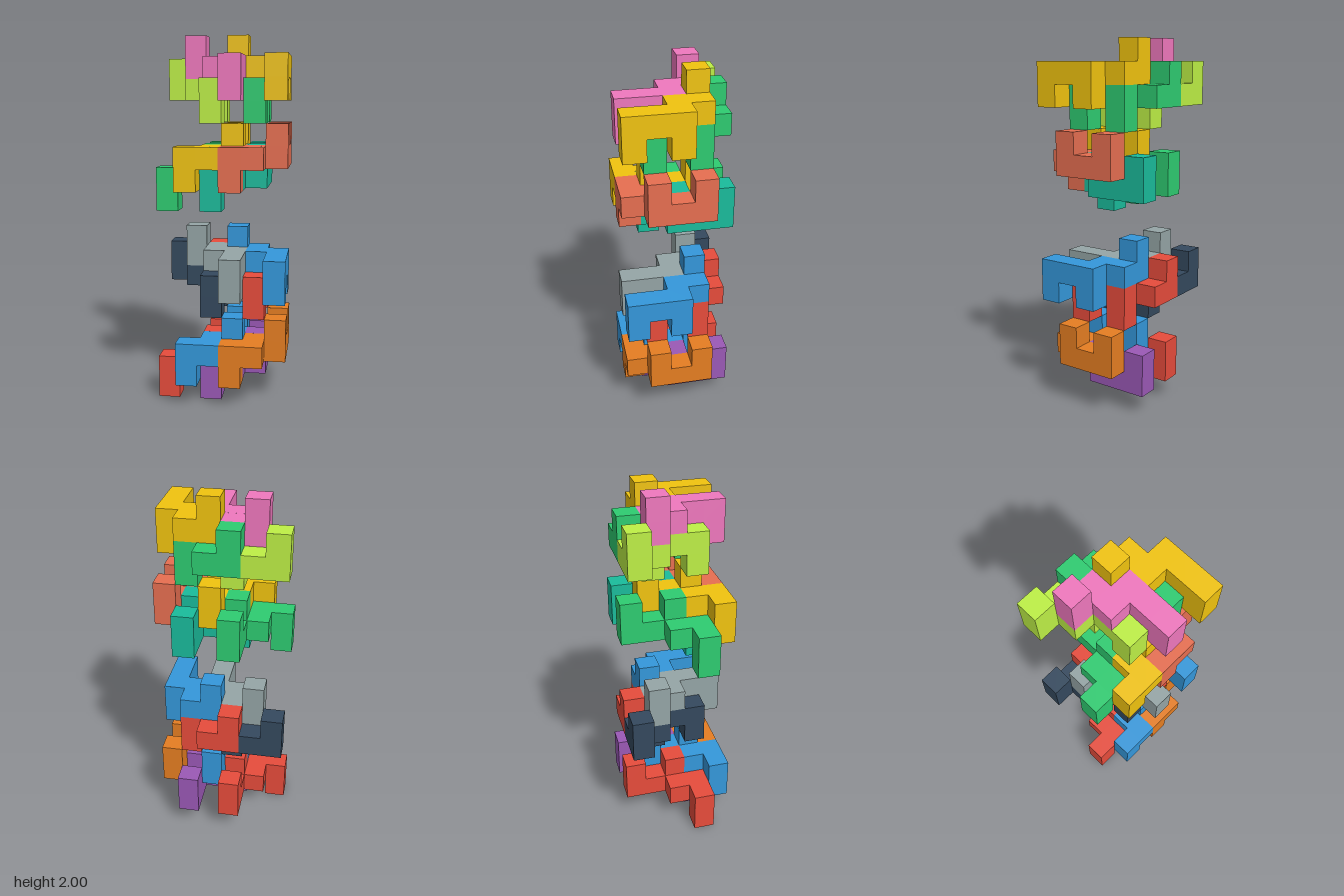
import * as THREE from 'three';
import { mergeGeometries } from 'three/addons/utils/BufferGeometryUtils.js';

const U = 2 / 17; // edge of one cube cell

// Cells of the one interlocking piece, relative to the middle of its bar
const CELLS = [
  [0, 0, 1], [0, 0, 0], [0, 0, -1],      // bar
  [0, -1, 1], [0, -1, -1],               // two legs
  [-1, 0, -1], [-1, 0, -2], [-2, 0, -2], // stepped arm
  [-2, 1, -2],                           // raised tip
];
const DIRECTIONS = [[1, 0, 0], [-1, 0, 0], [0, 1, 0], [0, -1, 0], [0, 0, 1], [0, 0, -1]];

// Outer skin of the piece: a square wherever a cell has no neighbour
function pieceGeometry() {
  const filled = new Set(CELLS.map(String));
  const faces = [];
  for (const cell of CELLS) {
    for (const dir of DIRECTIONS) {
      if (filled.has(String(cell.map((c, i) => c + dir[i])))) continue;
      const face = new THREE.PlaneGeometry(U, U);
      face.lookAt(new THREE.Vector3(...dir));
      face.translate(...cell.map((c, i) => (c + dir[i] / 2) * U));
      faces.push(face);
    }
  }
  return mergeGeometries(faces);
}

// Bar position of each piece in cells; flipped pieces have their legs up
const PIECES = [
  { name: 'upperOuterPiece', at: [5, 6, 3], tint: 0 },
  { name: 'upperMiddlePiece', at: [3, 6, 3], tint: 1 },
  { name: 'upperBackOuterPiece', at: [4, 5, 2], tint: 2 },
  { name: 'upperBackInnerPiece', at: [2, 5, 2], tint: 3 },
  { name: 'lowerOuterPiece', at: [5, 2, 2], tint: 4, flipped: true },
  { name: 'lowerMiddlePiece', at: [3, 2, 2], tint: 0, flipped: true },
  { name: 'lowerBackOuterPiece', at: [4, 1, 1], tint: 5, flipped: true },
  { name: 'lowerBackInnerPiece', at: [2, 1, 1], tint: 2, flipped: true },
];

// The same cluster twice, each with its own palette
const CLUSTERS = [
  { name: 'bottomCluster', level: 0, colors: [0x3498db, 0x95a5a6, 0xe74c3c, 0x34495e, 0xe67e22, 0x9b59b6] },
  { name: 'topCluster', level: 9, colors: [0xf1c40f, 0xf078be, 0x2ecc71, 0xbef046, 0xe76f51, 0x1abc9c] },
];

export function createModel() {
  const model = new THREE.Group();
  model.name = 'interlockingPieces';
  const geometry = pieceGeometry();

  for (const { name, level, colors } of CLUSTERS) {
    const cluster = new THREE.Group();
    cluster.name = name;
    cluster.position.y = level * U;
    const materials = colors.map((color) => new THREE.MeshStandardMaterial({ color }));
    for (const piece of PIECES) {
      const [x, y, z] = piece.at;
      const mesh = new THREE.Mesh(geometry, materials[piece.tint]);
      mesh.name = piece.name;
      mesh.position.set((x - 2.5) * U, (y + 0.5) * U, (z - 2) * U);
      if (piece.flipped) mesh.rotation.x = Math.PI;
      cluster.add(mesh);
    }
    model.add(cluster);
  }
  return model;
}
